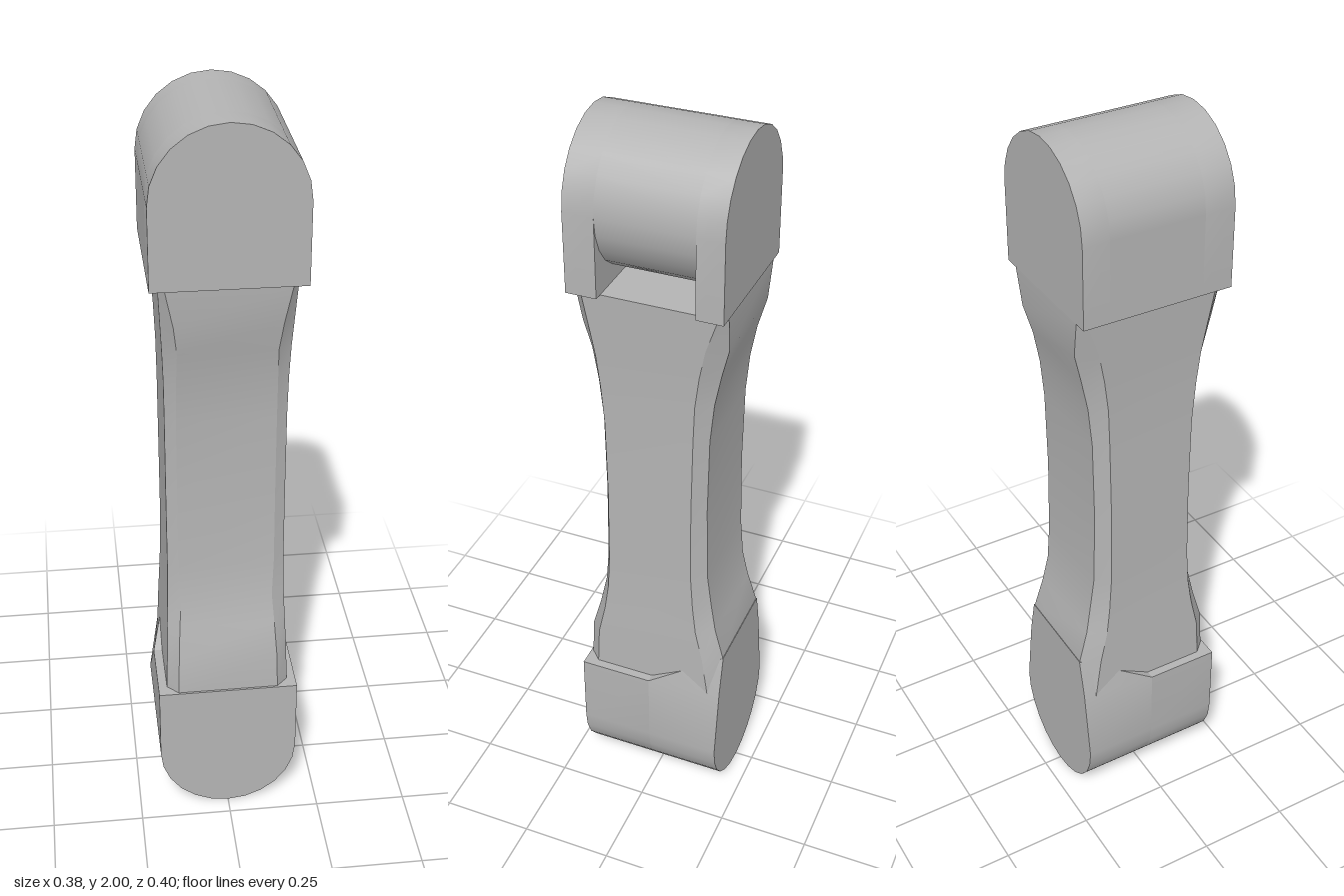
import * as THREE from 'three';
import { toCreasedNormals } from 'three/addons/utils/BufferGeometryUtils.js';
import { ConvexGeometry } from 'three/addons/geometries/ConvexGeometry.js';

const R = 0.19, D = 0.2;

// Outline of a rounded end: half circle plus a straight skirt of the given height
function archShape(skirt) {
  const s = new THREE.Shape();
  s.moveTo(-R, -skirt);
  s.lineTo(R, -skirt);
  for (let i = 0; i <= 12; i++) {
    const a = (i / 12) * Math.PI;
    s.lineTo(Math.cos(a) * R, Math.sin(a) * R);
  }
  s.closePath();
  return s;
}

function archGeometry(skirt, z0, z1) {
  const g = new THREE.ExtrudeGeometry(archShape(skirt), { depth: z1 - z0, bevelEnabled: false });
  g.translate(0, 0, z0);
  return toCreasedNormals(g, 0.6);
}

// Shaft lofted through chamfered rectangles
function shaftGeometry() {
  // y, half width, front z, back z, chamfer width, front chamfer depth, back chamfer depth
  const rows = [
    [0.38, 0.167, 0.195, -0.198, 0.03, 0.03, 0.03],
    [0.51, 0.163, 0.19, -0.198, 0.03, 0.03, 0.05],
    [0.6, 0.16, 0.166, -0.172, 0.032, 0.025, 0.045],
    [0.68, 0.157, 0.15, -0.157, 0.035, 0.02, 0.04],
    [0.78, 0.155, 0.14, -0.147, 0.028, 0.015, 0.037],
    [1.0, 0.155, 0.137, -0.143, 0.028, 0.015, 0.034],
    [1.22, 0.155, 0.14, -0.147, 0.028, 0.015, 0.034],
    [1.33, 0.156, 0.151, -0.157, 0.03, 0.018, 0.04],
    [1.42, 0.159, 0.167, -0.174, 0.035, 0.025, 0.045],
    [1.5, 0.163, 0.185, -0.195, 0.03, 0.03, 0.05],
    [1.6, 0.168, 0.192, -0.199, 0.015, 0.02, 0.02],
  ];
  const pos = [], idx = [], n = 8;
  for (const [y, w, f, b, c, cf, cb] of rows) {
    const ring = [[w, f - cf], [w, b + cb], [w - c, b], [c - w, b],
      [-w, b + cb], [-w, f - cf], [c - w, f], [w - c, f]];
    for (const [x, z] of ring) pos.push(x, y, z);
  }
  for (let r = 0; r < rows.length - 1; r++) {
    for (let i = 0; i < n; i++) {
      const a = r * n + i, b = r * n + (i + 1) % n;
      idx.push(a, b, b + n, a, b + n, a + n);
    }
  }
  const t = (rows.length - 1) * n;
  for (let i = 1; i < n - 1; i++) {
    idx.push(t, t + i, t + i + 1);
    idx.push(0, i + 1, i);
  }
  const g = new THREE.BufferGeometry();
  g.setAttribute('position', new THREE.Float32BufferAttribute(pos, 3));
  g.setIndex(idx);
  return toCreasedNormals(g, 0.45);
}

// Rear half of the lower end, tapering from the round end up into the shaft
function flareGeometry() {
  const pts = [];
  for (let i = 0; i <= 12; i++) {
    const a = (i / 12) * Math.PI;
    for (const z of [0, -D]) pts.push(new THREE.Vector3(Math.cos(a) * R, R - Math.sin(a) * R, z));
  }
  for (const s of [-1, 1]) {
    pts.push(new THREE.Vector3(s * R, 0.4, 0));
    pts.push(new THREE.Vector3(s * 0.16, 0.4, -D));
    pts.push(new THREE.Vector3(s * 0.135, 0.51, -D));
  }
  return toCreasedNormals(new ConvexGeometry(pts), 0.6);
}

export function createModel() {
  const group = new THREE.Group();
  const grey = new THREE.MeshStandardMaterial({ color: 0xb4b4b4 });
  grey.name = 'grey';
  const add = (name, geometry, y = 0) => {
    const m = new THREE.Mesh(geometry, grey);
    m.name = name;
    m.position.y = y;
    group.add(m);
    return m;
  };

  add('shaft', shaftGeometry());

  // Upper fork: a hub between two rounded cheeks
  const top = 2 - R;
  add('frontCheek', archGeometry(top - 1.6, 0.12, D), top);
  add('backCheek', archGeometry(top - 1.6, -D, -0.13), top);
  const hub = new THREE.CylinderGeometry(R, R, 0.25, 24, 1, true);
  hub.rotateX(Math.PI / 2);
  hub.translate(0, 0, -0.005);
  add('upperHub', hub, top);

  // Outward skin closing the fork on one side
  const skin = new THREE.PlaneGeometry(0.25, top - 1.6);
  skin.rotateY(-Math.PI / 2);
  skin.translate(-R, (1.6 - top) / 2, -0.005);
  add('forkSideSkin', skin, top);

  // Lower end: a square-topped block in front, a flare behind
  const block = archGeometry(0.4 - R, 0, D);
  block.rotateZ(Math.PI);
  add('lowerBlock', block, R);
  add('lowerFlare', flareGeometry());

  return group;
}
